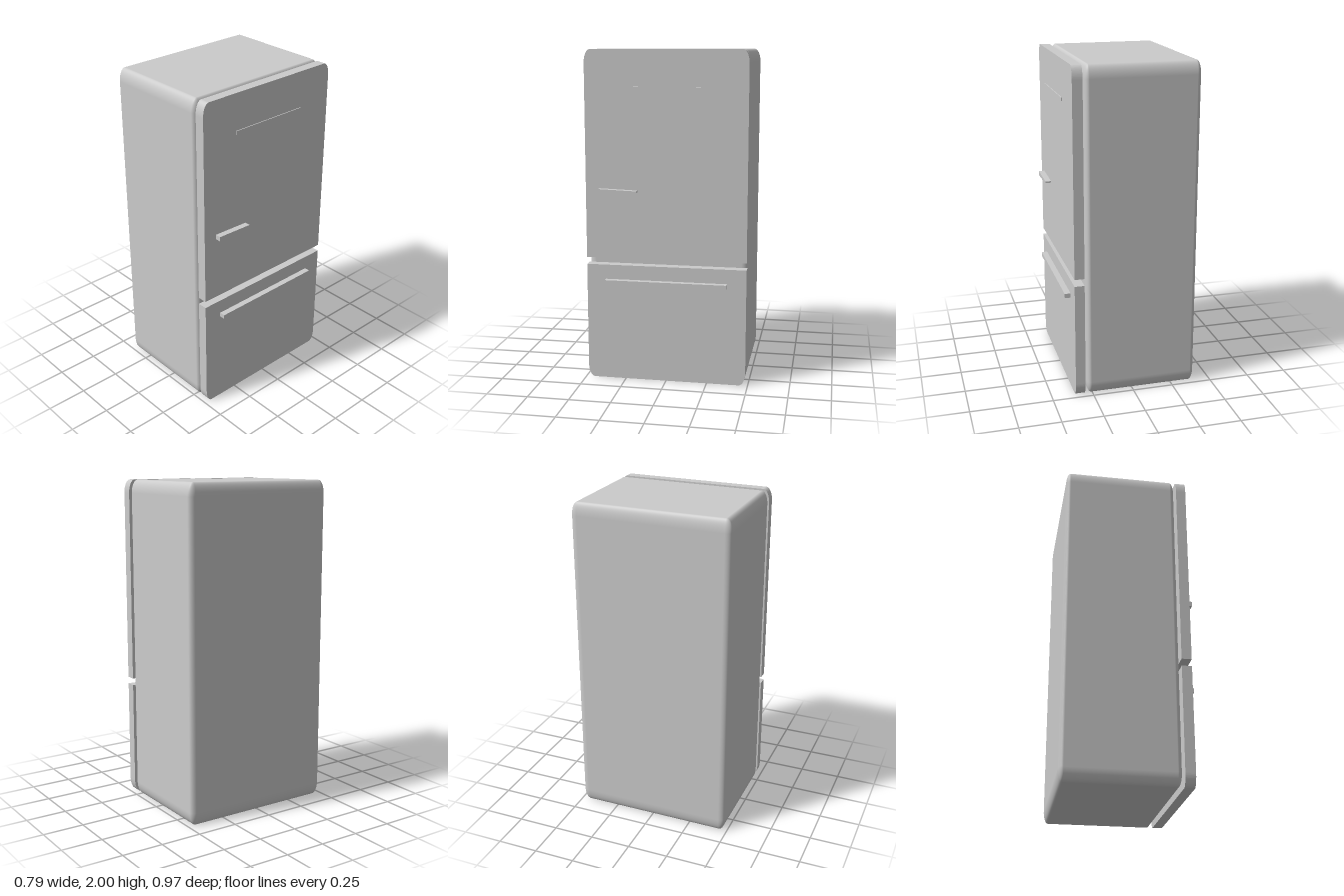
import * as THREE from 'three';
import { RoundedBoxGeometry } from 'three/addons/geometries/RoundedBoxGeometry.js';

const HALF_DEPTH = 0.485; // half extent along z
const RZ = 0.04, RY = 0.08; // elliptical corner radii

export function createModel() {
  const group = new THREE.Group();
  const material = new THREE.MeshStandardMaterial({ color: 0xcccccc });

  const add = (name, geometry) => {
    const mesh = new THREE.Mesh(geometry, material);
    mesh.name = name;
    group.add(mesh);
    return mesh;
  };

  // Extrudes a (z, y) outline from x0 to x1
  const slab = (name, shape, x0, x1) => {
    const geometry = new THREE.ExtrudeGeometry(shape, { depth: x1 - x0, bevelEnabled: false, curveSegments: 8 });
    geometry.rotateY(Math.PI / 2); // shape x becomes -z, depth becomes +x
    geometry.translate(x0, 0, 0);
    return add(name, geometry);
  };

  // Door outline: square along the gap edge, rounded at the outer edge
  const doorShape = (gapY, outerY) => {
    const s = Math.sign(outerY - gapY);
    const shape = new THREE.Shape();
    shape.moveTo(-HALF_DEPTH, gapY);
    shape.lineTo(HALF_DEPTH, gapY);
    shape.lineTo(HALF_DEPTH, outerY - s * RY);
    shape.absellipse(HALF_DEPTH - RZ, outerY - s * RY, RZ, RY, 0, s * Math.PI / 2, s < 0);
    shape.absellipse(-HALF_DEPTH + RZ, outerY - s * RY, RZ, RY, s * Math.PI / 2, s * Math.PI, s < 0);
    shape.closePath();
    return shape;
  };

  // Cabinet: rounded cube stretched to size
  const cabinet = new RoundedBoxGeometry(2, 2, 2, 6, RY);
  cabinet.scale(0.34, 1, HALF_DEPTH);
  cabinet.translate(-0.055, 1, 0);
  add('cabinet', cabinet);

  // Doors
  slab('upperDoor', doorShape(0.758, 2), 0.297, 0.357);
  slab('lowerDoor', doorShape(0.715, 0), 0.297, 0.357);

  // Tapered upper door handle
  const taper = new THREE.Shape([
    [-0.4, 1.153], [-0.31, 1.157], [-0.17, 1.164],
    [-0.17, 1.174], [-0.31, 1.179], [-0.4, 1.182],
  ].map(([x, y]) => new THREE.Vector2(x, y)));
  slab('upperHandle', taper, 0.357, 0.393);

  // Long drawer handle and thin trim strip
  const bar = (name, [x0, x1], [y0, y1], [z0, z1]) => {
    const mesh = add(name, new THREE.BoxGeometry(x1 - x0, y1 - y0, z1 - z0));
    mesh.position.set((x0 + x1) / 2, (y0 + y1) / 2, (z0 + z1) / 2);
  };
  bar('lowerHandle', [0.357, 0.393], [0.6, 0.627], [-0.37, 0.37]);
  bar('trimStrip', [0.364, 0.369], [1.763, 1.784], [-0.25, 0.257]);

  return group;
}
